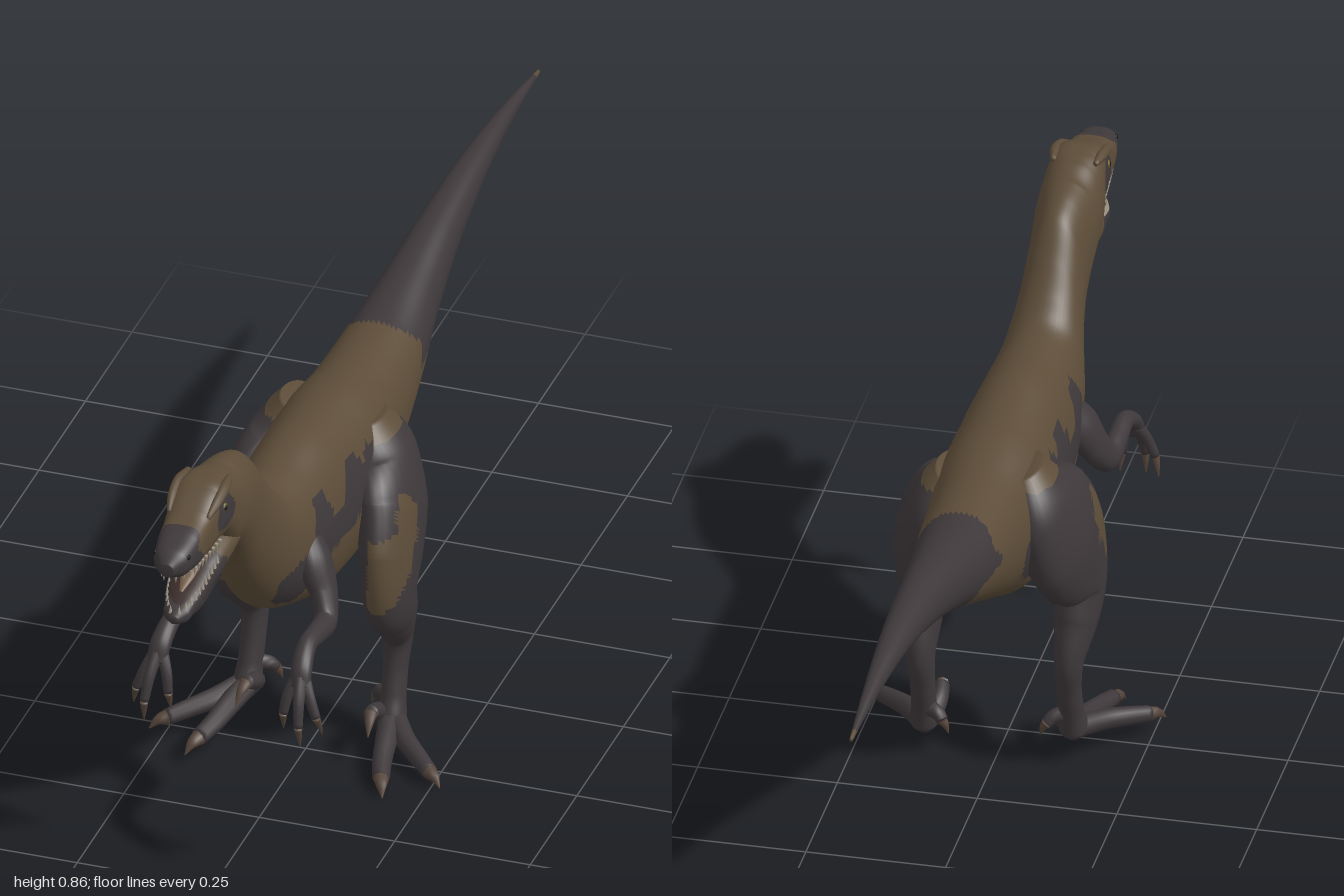
import * as THREE from 'three';

const mat = (name, color) => Object.assign(new THREE.MeshStandardMaterial({ color }), { name });
const brown = mat('brown hide', 0x5c4c38);
const dark = mat('dark hide', 0x3e383a);
const mouth = mat('mouth lining', 0x382b29);
const tongueMat = mat('tongue', 0x735a45);
const ivory = mat('teeth', 0xa39a88);
const horn = mat('claw horn', 0x54443a);
const amber = mat('iris', 0x6e5a2c);
const black = mat('pupil', 0x141212);

// Sweeps an oval along a curve. Each point: [x, y, z, half width, half height, corner exponent].
// axis fixes the slicing direction; paint(point) picks an index into mats.
function sweep(name, pts, mats, { sides = 16, steps = 6, axis = null, paint = () => 0 } = {}) {
  const path = new THREE.CatmullRomCurve3(pts.map(p => new THREE.Vector3(p[0], p[1], p[2])));
  const size = new THREE.CatmullRomCurve3(pts.map(p => new THREE.Vector3(p[3], p[4] ?? p[3], p[5] ?? 1)));
  const rings = (pts.length - 1) * steps;
  const pos = [], X = new THREE.Vector3(1, 0, 0);
  const pw = (v, e) => Math.sign(v) * Math.abs(v) ** e;
  for (let i = 0; i <= rings; i++) {
    const u = i / rings, c = path.getPoint(u), s = size.getPoint(u);
    const t = axis || path.getTangent(u);
    const side = X.clone().addScaledVector(t, -X.dot(t)).normalize();
    const up = t.clone().cross(side);
    for (let j = 0; j < sides; j++) {
      const a = j / sides * Math.PI * 2;
      const p = c.clone().addScaledVector(side, Math.max(s.x, 0.0005) * pw(Math.cos(a), s.z))
        .addScaledVector(up, Math.max(s.y, 0.0005) * pw(Math.sin(a), s.z));
      pos.push(p.x, p.y, p.z);
    }
  }
  const first = (rings + 1) * sides;
  pos.push(...path.getPoint(0).toArray(), ...path.getPoint(1).toArray());
  const lists = mats.map(() => []);
  const tri = (...abc) => {
    const m = new THREE.Vector3();
    abc.forEach(k => m.add(new THREE.Vector3(pos[k * 3], pos[k * 3 + 1], pos[k * 3 + 2])));
    lists[paint(m.divideScalar(3))].push(...abc);
  };
  for (let j = 0; j < sides; j++) {
    const k = (j + 1) % sides;
    for (let i = 0; i < rings; i++) {
      const a = i * sides + j, b = i * sides + k;
      tri(a, b, a + sides);
      tri(b, b + sides, a + sides);
    }
    tri(first, k, j);
    tri(first + 1, rings * sides + j, rings * sides + k);
  }
  const g = new THREE.BufferGeometry();
  g.setAttribute('position', new THREE.Float32BufferAttribute(pos, 3));
  g.setIndex(lists.flat());
  let start = 0;
  lists.forEach((l, i) => { g.addGroup(start, l.length, i); start += l.length; });
  g.computeVertexNormals();
  const mesh = new THREE.Mesh(g, mats.length > 1 ? mats : mats[0]);
  mesh.name = name;
  return mesh;
}

// True inside any [z, y, rz, ry] blob, with a slightly wavy edge
const inBlobs = (p, blobs) => blobs.some(([z, y, rz, ry]) =>
  ((p.z - z) / rz) ** 2 + ((p.y - y) / ry) ** 2 < 1 + 0.25 * Math.sin(p.z * 90) * Math.sin(p.y * 80 + 1));

const flankBlobs = [[0.41, 0.55, 0.04, 0.075], [0.33, 0.525, 0.09, 0.035], [0.26, 0.56, 0.05, 0.055],
  [0.49, 0.49, 0.055, 0.05], [0.16, 0.53, 0.07, 0.07], [0.05, 0.49, 0.06, 0.06]];
const kneeBlobs = [[0.2, 0.465, 0.035, 0.05], [0.255, 0.41, 0.05, 0.055], [0.29, 0.355, 0.035, 0.035]];

function bodyPaint(p) {
  const ax = Math.abs(p.x);
  if (p.z > 0.8) {
    if (p.y < 0.758 && ax < 0.034 && p.z < 0.975) return 2;
    if (p.z > 0.925 + 0.012 * Math.sin(p.y * 120)) return 1;
  }
  if (p.z > 0.7) return ax > 0.03 && inBlobs(p, [[0.82, 0.81, 0.036, 0.032]]) ? 1 : 0;
  const edge = -0.15 + 0.015 * Math.sin(p.y * 70) - (p.y < 0.57 ? 0.11 : 0);
  if (p.z < edge && p.z > -0.975) return 1;
  return ax > 0.035 && inBlobs(p, flankBlobs) ? 1 : 0;
}

// One toe or finger with a curved claw on its end
function digit(name, pts, tip, r) {
  const g = new THREE.Group();
  g.name = name;
  const n = pts.length - 1, end = pts[n];
  g.add(sweep(name + 'Flesh', pts.map((p, i) => [...p, r * (1 - 0.3 * i / n)]), [dark], { sides: 10 }));
  const mid = end.map((v, i) => (v + tip[i]) / 2 + (i === 1 ? r * 0.25 : 0));
  g.add(sweep(name + 'Claw', [[...end, r * 0.66], [...mid, r * 0.45], [...tip, 0.001]], [horn], { sides: 8 }));
  return g;
}

function leg(s) {
  const g = new THREE.Group();
  g.name = s > 0 ? 'leftLeg' : 'rightLeg';
  const m = (x, ...r) => [x * s, ...r];
  g.add(sweep('thighAndShin', [
    m(0.065, 0.605, 0.10, 0.03, 0.05), m(0.092, 0.535, 0.105, 0.055, 0.10), m(0.118, 0.46, 0.14, 0.058, 0.125),
    m(0.135, 0.39, 0.185, 0.048, 0.112), m(0.14, 0.325, 0.203, 0.043, 0.08), m(0.138, 0.265, 0.172, 0.038, 0.055),
    m(0.133, 0.2, 0.14, 0.026, 0.035), m(0.131, 0.14, 0.148, 0.022, 0.027), m(0.132, 0.09, 0.162, 0.022, 0.026),
    m(0.133, 0.05, 0.175, 0.026, 0.03), m(0.133, 0.03, 0.18, 0.014, 0.016)],
  [dark, brown], { sides: 32, steps: 14,
    paint: p => (Math.abs(p.x) > 0.125 && inBlobs(p, kneeBlobs)) || p.y > 0.585 ? 1 : 0 }));
  g.add(digit('outerToe', [m(0.135, 0.05, 0.17), m(0.175, 0.04, 0.225), m(0.21, 0.032, 0.26), m(0.242, 0.024, 0.29)],
    m(0.268, 0.008, 0.312), 0.021));
  g.add(digit('middleToe', [m(0.133, 0.05, 0.18), m(0.145, 0.04, 0.24), m(0.155, 0.03, 0.29), m(0.168, 0.022, 0.335)],
    m(0.182, 0.003, 0.37), 0.022));
  g.add(digit('sickleToe', [m(0.12, 0.055, 0.17), m(0.113, 0.075, 0.205), m(0.115, 0.088, 0.235)],
    m(0.122, 0.06, 0.272), 0.018));
  g.add(digit('hindToe', [m(0.122, 0.085, 0.155), m(0.103, 0.08, 0.145), m(0.093, 0.07, 0.138)],
    m(0.082, 0.048, 0.135), 0.015));
  if (s < 0) g.position.y = 0.018;
  return g;
}

function arm(s) {
  const g = new THREE.Group();
  g.name = s > 0 ? 'leftArm' : 'rightArm';
  const m = (x, ...r) => [x * s, ...r];
  g.add(sweep('upperArmAndForearm', [
    m(0.065, 0.555, 0.43, 0.02, 0.03), m(0.085, 0.51, 0.45, 0.03, 0.042), m(0.108, 0.46, 0.468, 0.024, 0.034),
    m(0.122, 0.425, 0.5, 0.021, 0.025), m(0.125, 0.43, 0.55, 0.019, 0.021), m(0.126, 0.437, 0.61, 0.017, 0.017),
    m(0.13, 0.415, 0.65, 0.019, 0.016), m(0.133, 0.385, 0.668, 0.018, 0.012)], [dark], { steps: 8 }));
  g.add(digit('outerFinger', [m(0.135, 0.405, 0.655), m(0.152, 0.37, 0.672), m(0.166, 0.335, 0.678)],
    m(0.174, 0.298, 0.668), 0.012));
  g.add(digit('middleFinger', [m(0.132, 0.405, 0.66), m(0.138, 0.365, 0.69), m(0.142, 0.325, 0.705)],
    m(0.144, 0.285, 0.7), 0.012));
  g.add(digit('innerFinger', [m(0.127, 0.405, 0.655), m(0.112, 0.37, 0.672), m(0.106, 0.335, 0.68)],
    m(0.104, 0.3, 0.672), 0.012));
  return g;
}

function ball(name, material, r, x, y, z, sx = 1) {
  const b = new THREE.Mesh(new THREE.SphereGeometry(r, 14, 10), material);
  b.name = name;
  b.position.set(x, y, z);
  b.scale.x = sx;
  return b;
}

export function createModel() {
  const root = new THREE.Group();
  root.name = 'dinosaur';
  const Z = new THREE.Vector3(0, 0, 1);

  // Tail, trunk, neck and skull: [z, top, bottom, half width, exponent]
  const slices = [
    [-1, 0.679, 0.671, 0.003], [-0.85, 0.7, 0.67, 0.013], [-0.65, 0.71, 0.652, 0.027], [-0.45, 0.698, 0.6, 0.042],
    [-0.3, 0.675, 0.545, 0.057], [-0.155, 0.652, 0.48, 0.077], [0, 0.652, 0.405, 0.093], [0.14, 0.667, 0.345, 0.108],
    [0.3, 0.676, 0.35, 0.1], [0.42, 0.67, 0.39, 0.092], [0.5, 0.679, 0.428, 0.08], [0.54, 0.713, 0.46, 0.07],
    [0.58, 0.762, 0.505, 0.06], [0.62, 0.812, 0.555, 0.055], [0.665, 0.836, 0.617, 0.055],
    [0.71, 0.847, 0.665, 0.058], [0.755, 0.858, 0.695, 0.057, 0.85], [0.79, 0.863, 0.742, 0.052, 0.7],
    [0.83, 0.86, 0.752, 0.049, 0.65], [0.88, 0.838, 0.75, 0.044, 0.65], [0.93, 0.823, 0.752, 0.04, 0.7],
    [0.975, 0.81, 0.757, 0.031, 0.8], [0.998, 0.792, 0.768, 0.012]];
  root.add(sweep('body', slices.map(([z, t, b, w, e = 0.95]) => [0, (t + b) / 2, z, w, (t - b) / 2, e]),
    [brown, dark, mouth], { sides: 56, steps: 12, axis: Z, paint: bodyPaint }));

  // Lower jaw, lining and tongue
  root.add(sweep('lowerJaw', [
    [0, 0.717, 0.735, 0.048, 0.03], [0, 0.71, 0.79, 0.046, 0.028, 0.8], [0, 0.695, 0.85, 0.039, 0.024, 0.7],
    [0, 0.677, 0.91, 0.033, 0.02, 0.7], [0, 0.663, 0.945, 0.024, 0.016, 0.8], [0, 0.66, 0.962, 0.008, 0.007]],
  [dark, brown, mouth], { sides: 32, steps: 8, axis: Z,
    paint: p => p.z < 0.81 + 0.01 * Math.sin(p.y * 150) ? 1
      : p.z < 0.95 && Math.abs(p.x) < 0.027 && p.y > 0.71 - (p.z - 0.85) * 0.32 ? 2 : 0 }));
  root.add(sweep('tongue', [[0, 0.736, 0.775, 0.02, 0.01], [0, 0.728, 0.83, 0.019, 0.009],
    [0, 0.708, 0.885, 0.013, 0.006], [0, 0.695, 0.92, 0.003, 0.002]], [tongueMat], { axis: Z }));

  // Teeth rows
  const toothGeo = new THREE.ConeGeometry(0.0036, 0.017, 6);
  const tooth = (name, x, y, z, down) => {
    const t = new THREE.Mesh(toothGeo, ivory);
    t.name = name;
    t.position.set(x, y, z);
    if (down) t.rotation.x = Math.PI;
    root.add(t);
  };
  for (const s of [1, -1]) {
    for (let i = 0; i < 11; i++) {
      const u = i / 10;
      tooth('upperTooth', s * (0.041 - 0.012 * u - 0.018 * u ** 6), 0.75 + 0.006 * u ** 4, 0.83 + 0.15 * u, true);
      tooth('lowerTooth', s * (0.038 - 0.013 * u - 0.017 * u ** 5), 0.722 - 0.044 * u, 0.835 + 0.118 * u, false);
    }
    // Eyes, brow ridges and nostrils
    root.add(ball('eye', amber, 0.009, s * 0.046, 0.823, 0.825, 0.7));
    root.add(ball('pupil', black, 0.005, s * 0.0505, 0.823, 0.827, 0.5));
    root.add(ball('nostril', black, 0.005, s * 0.031, 0.797, 0.968, 0.5));
    root.add(sweep('browRidge', [[s * 0.038, 0.853, 0.77, 0.005], [s * 0.042, 0.851, 0.81, 0.01],
      [s * 0.041, 0.842, 0.845, 0.009], [s * 0.036, 0.828, 0.88, 0.004]], [brown], { sides: 10 }));
    root.add(leg(s), arm(s));
  }
  return root;
}
